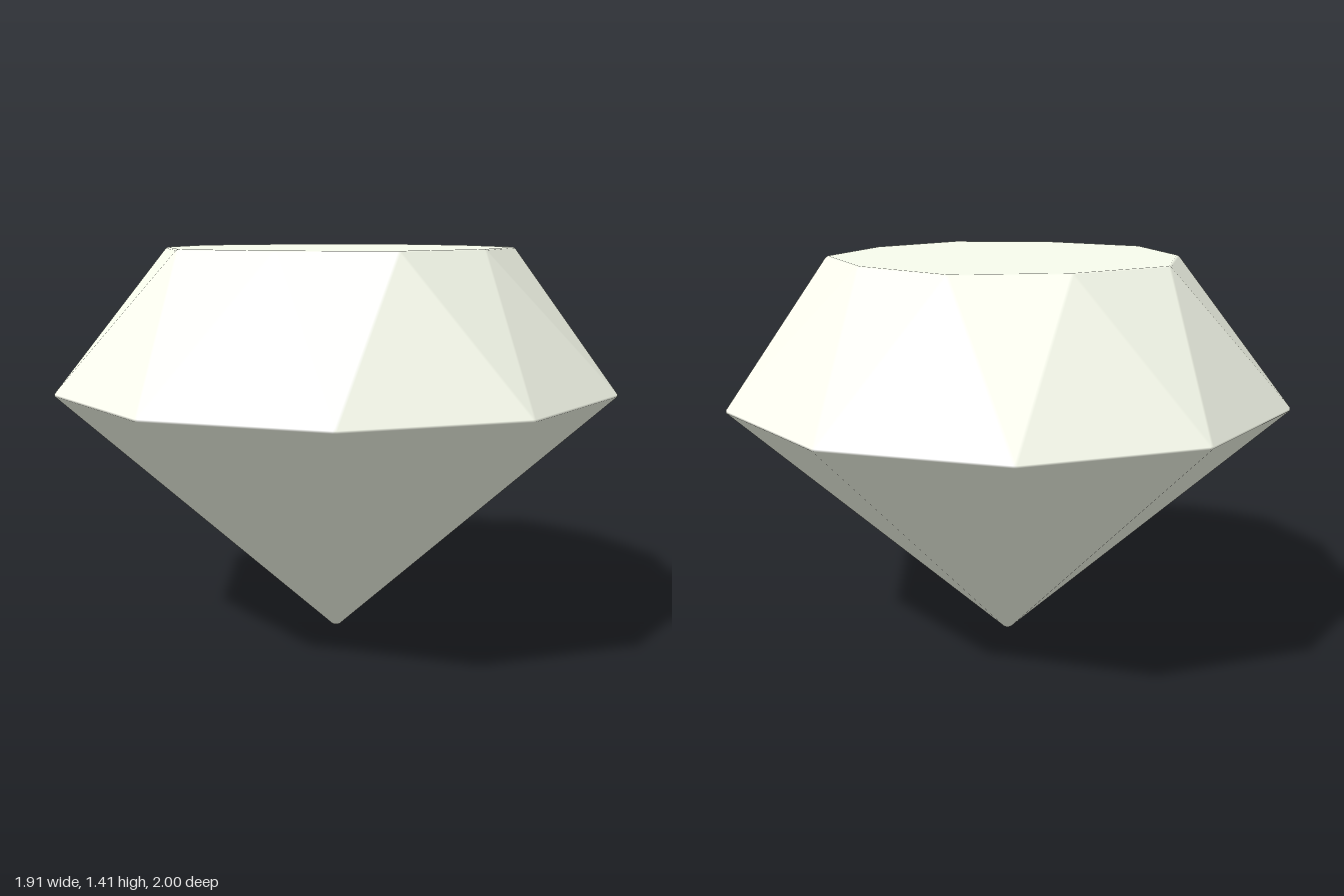
import * as THREE from 'three';
import { ConvexGeometry } from 'three/addons/geometries/ConvexGeometry.js';

const SIDES = 10;
const BEVEL = 0.005;
const CENTRE = new THREE.Vector3(0, 0.9, 0);

// Point on a horizontal ring; steps count in tenths of a turn
function ringPoint(radius, y, step) {
  const a = (step / SIDES) * Math.PI * 2;
  return new THREE.Vector3(radius * Math.cos(a), y, radius * Math.sin(a));
}

// Corners of a facet, each moved inward so neighbouring facets leave a fine bevel
function inset(corners) {
  const n = corners.length;
  return corners.map((p, i) => {
    const u = corners[(i + 1) % n].clone().sub(p).normalize();
    const v = corners[(i + n - 1) % n].clone().sub(p).normalize();
    return u.clone().add(v).multiplyScalar(BEVEL / Math.sin(u.angleTo(v))).add(p);
  });
}

// Outward normal of a facet
function outward([a, b, c]) {
  const n = b.clone().sub(a).cross(c.clone().sub(a)).normalize();
  return n.dot(a.clone().sub(CENTRE)) < 0 ? n.negate() : n;
}

// Hull of the inset facets: facets shade flat, the bevels between them shade round
function bevelledHull(facets) {
  const corners = facets.flatMap((facet) => {
    const normal = outward(facet);
    return inset(facet).map((point) => ({ point, normal }));
  });
  const geometry = new ConvexGeometry(corners.map((c) => c.point));
  const { position, normal } = geometry.attributes;
  const p = new THREE.Vector3();
  for (let i = 0; i < position.count; i++) {
    p.fromBufferAttribute(position, i);
    const corner = corners.find((c) => c.point.distanceTo(p) < 1e-5);
    normal.setXYZ(i, ...corner.normal.toArray());
  }
  return geometry;
}

export function createModel() {
  const group = new THREE.Group();
  group.name = 'gem';

  const tip = new THREE.Vector3(0, -0.015, 0);
  const girdle = [];
  const table = [];
  for (let i = 0; i < SIDES; i++) {
    // Table corners alternate between two radii and sit half a step off the girdle
    table.push(ringPoint(i % 2 ? 0.605 : 0.637, 1.41, i));
    girdle.push(ringPoint(1.006, 0.92, i + 0.5));
  }

  // Flat table, then crown and pavilion facets
  const facets = [table];
  for (let i = 0; i < SIDES; i++) {
    const j = (i + 1) % SIDES;
    facets.push([table[i], table[j], girdle[i]]);
    facets.push([girdle[i], table[j], girdle[j]]);
    facets.push([girdle[i], girdle[j], tip]);
  }

  const stone = new THREE.Mesh(
    bevelledHull(facets),
    new THREE.MeshStandardMaterial({ color: 0xf8fced })
  );
  stone.name = 'cutStone';
  group.add(stone);
  return group;
}
